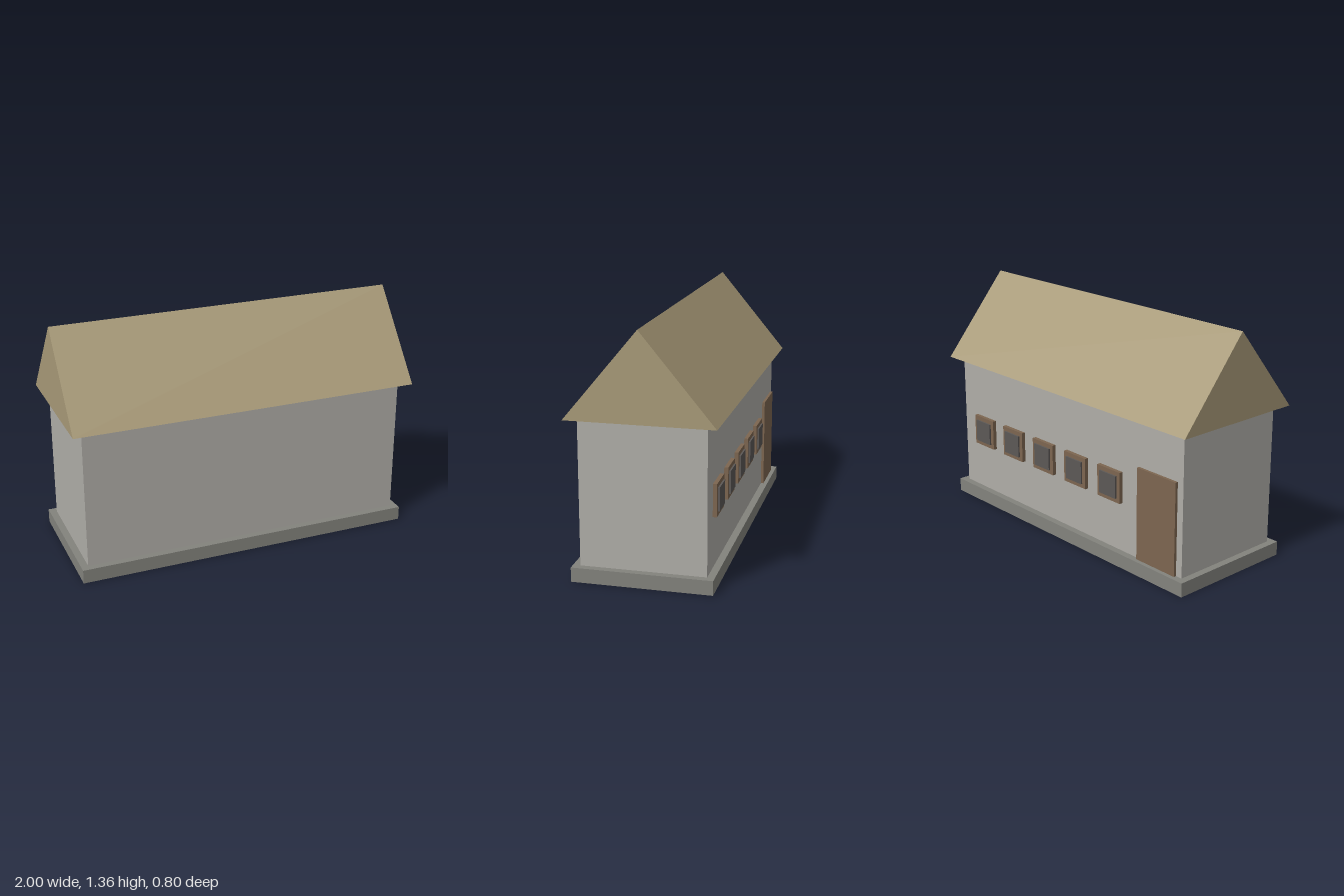
import * as THREE from 'three';

const material = (color) => new THREE.MeshStandardMaterial({ color, flatShading: true });

const stone = material(0x83837d);
const plaster = material(0xb0aea8);
const thatch = material(0xa89a78);
const wood = material(0x7d6650);
const glass = material(0x5c5856);

const WALL_BACK = -0.34;

// Box placed by its centre in x and z and by its bottom in y
function box(name, mat, w, h, d, x, y, z) {
  const mesh = new THREE.Mesh(new THREE.BoxGeometry(w, h, d), mat);
  mesh.name = name;
  mesh.position.set(x, y + h / 2, z);
  return mesh;
}

// Box standing out from the back wall, from depth "from" to depth "to"
function onBackWall(name, mat, w, h, from, to, x, y) {
  return box(name, mat, w, h, to - from, x, y, WALL_BACK - (from + to) / 2);
}

// Solid gable roof: a triangle extruded along x
function createRoof() {
  const gable = new THREE.Shape([
    new THREE.Vector2(-0.4, 0),
    new THREE.Vector2(0.4, 0),
    new THREE.Vector2(0, 0.48),
  ]);
  const geometry = new THREE.ExtrudeGeometry(gable, { depth: 2, bevelEnabled: false });
  geometry.translate(0, 0, -1).rotateY(Math.PI / 2);
  const roof = new THREE.Mesh(geometry, thatch);
  roof.name = 'roof';
  roof.position.y = 0.88;
  return roof;
}

// Square window: wooden surround with a raised pane
function createWindow(x) {
  const win = new THREE.Group();
  win.name = 'window';
  win.add(
    onBackWall('windowFrame', wood, 0.18, 0.18, 0, 0.022, x, 0.363),
    onBackWall('windowPane', glass, 0.13, 0.13, 0.022, 0.032, x, 0.388),
  );
  return win;
}

export function createModel() {
  const house = new THREE.Group();
  house.name = 'house';

  house.add(
    box('foundation', stone, 1.96, 0.08, 0.76, 0, 0, 0),
    box('walls', plaster, 1.88, 0.8, 0.68, 0, 0.08, 0),
    createRoof(),
    onBackWall('door', wood, 0.285, 0.53, 0, 0.016, -0.757, 0.08),
  );

  // Row of five windows beside the door
  for (let i = 0; i < 5; i++) house.add(createWindow(0.727 - i * 0.281));

  return house;
}
